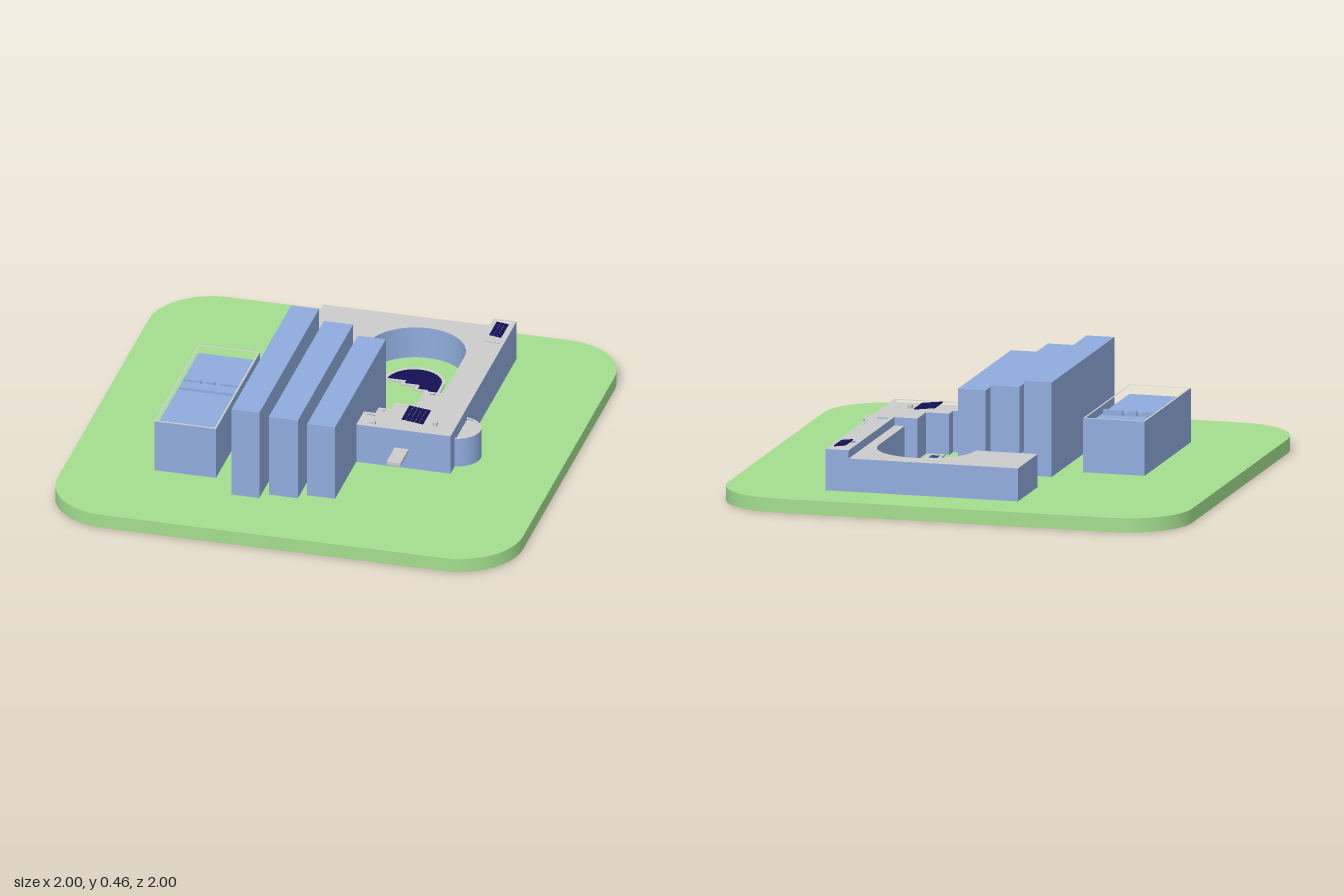
import * as THREE from 'three';
import { toCreasedNormals } from 'three/addons/utils/BufferGeometryUtils.js';

const paint = (color) => new THREE.MeshStandardMaterial({ color });
const GROUND = 0.06;

export function createModel() {
  const model = new THREE.Group();
  const green = paint(0xa3de8e), blue = paint(0x8fabdd), grey = paint(0xdad8d6);
  const navy = paint(0x140f55), violet = paint(0x43438a);

  const add = (name, geometry, material, parent = model) => {
    const mesh = new THREE.Mesh(geometry, material);
    mesh.name = name;
    parent.add(mesh);
    return mesh;
  };

  // Box given by its extents
  const block = (name, x0, x1, y0, y1, z0, z1, material, parent) => {
    const mesh = add(name, new THREE.BoxGeometry(x1 - x0, y1 - y0, z1 - z0), material, parent);
    mesh.position.set((x0 + x1) / 2, (y0 + y1) / 2, (z0 + z1) / 2);
    return mesh;
  };

  // Plan outline [x, z] raised from y0 to y1, with optional holes
  const plan = (points) => points.map(([x, z]) => new THREE.Vector2(x, -z));
  const raise = (name, points, y0, y1, roof, wall, holes = [], parent) => {
    const shape = new THREE.Shape(plan(points));
    holes.forEach((h) => shape.holes.push(new THREE.Path(plan(h))));
    const g = new THREE.ExtrudeGeometry(shape, { depth: y1 - y0, bevelEnabled: false });
    g.rotateX(-Math.PI / 2).translate(0, y0, 0);
    return add(name, toCreasedNormals(g, 0.5), [roof, wall], parent);
  };
  const rect = (x0, x1, z0, z1) => [[x0, z0], [x1, z0], [x1, z1], [x0, z1]];
  const arc = (cx, cz, r, a0, a1, n = 32) => Array.from({ length: n + 1 }, (_, i) => {
    const a = a0 + ((a1 - a0) * i) / n;
    return [cx + r * Math.cos(a), cz + r * Math.sin(a)];
  });
  const PI = Math.PI;

  // Lawn slab with rounded corners
  const R = 0.27, c = 1 - R;
  const lawn = [[c, c], [-c, c], [-c, -c], [c, -c]].flatMap(([x, z], i) =>
    arc(x, z, R, (i * PI) / 2, ((i + 1) * PI) / 2, 12));
  raise('lawn', lawn, 0, GROUND, green, green);

  // Three parallel slab buildings, stepping down towards the right
  [[-0.265, -0.145, 0.46, -0.27, 0.685],
    [-0.115, 0.01, 0.425, -0.235, 0.645],
    [0.04, 0.16, 0.395, -0.2, 0.61]].forEach(([x0, x1, top, z0, z1], i) =>
    block(`slabBuilding${i + 1}`, x0, x1, GROUND, top, z0, z1, blue));

  // Detached hall with parapet, sunken roof and roof units
  const hall = new THREE.Group();
  hall.name = 'hall';
  model.add(hall);
  block('hallBody', -0.63, -0.365, GROUND, 0.25, -0.145, 0.56, blue, hall);
  raise('hallParapet', rect(-0.63, -0.365, -0.145, 0.56), 0.25, 0.29, grey, blue,
    [rect(-0.622, -0.373, -0.135, 0.55)], hall);
  block('roofBand', -0.622, -0.378, 0.25, 0.262, 0.135, 0.19, blue, hall);
  [[-0.62, -0.545], [-0.52, -0.485], [-0.46, -0.375]].forEach(([x0, x1]) =>
    block('roofUnit', x0, x1, 0.25, 0.272, 0.122, 0.135, blue, hall));

  // Gabled link between the first slab and the rear wing
  raise('linkBody', rect(-0.2, -0.075, -0.49, -0.25), GROUND, 0.125, blue, blue);
  const gable = new THREE.Shape([
    new THREE.Vector2(-0.2, 0.125), new THREE.Vector2(-0.075, 0.125), new THREE.Vector2(-0.138, 0.156)]);
  add('linkRoof', new THREE.ExtrudeGeometry(gable, { depth: 0.24, bevelEnabled: false })
    .translate(0, 0, -0.49), blue);

  // Rear wing wrapping a semicircular courtyard
  raise('rearWing', [[-0.265, -0.785], [0.47, -0.785], [0.47, -0.09], [0.42, -0.09],
    ...arc(0.21, -0.485, 0.21, 0, -PI), [-0.265, -0.485]], GROUND, 0.2, grey, blue);

  // Long east wing and stepped front block, sharing one parapet
  const eastOutline = [[0.465, -0.785], [0.565, -0.785], [0.565, 0.27], [0.16, 0.27], [0.16, 0.15],
    [0.21, 0.15], [0.21, 0.1], [0.265, 0.1], [0.265, 0.04], [0.365, 0.04], [0.365, -0.09], [0.465, -0.09]];
  const frontRoof = [[0.545, -0.07], [0.545, 0.25], [0.18, 0.25], [0.18, 0.17], [0.23, 0.17],
    [0.23, 0.12], [0.285, 0.12], [0.285, 0.06], [0.385, 0.06], [0.385, -0.07]];
  raise('eastWing', eastOutline, GROUND, 0.222, grey, blue);
  raise('eastParapet', eastOutline, 0.222, 0.235, grey, blue,
    [frontRoof, rect(0.482, 0.55, -0.77, -0.6), rect(0.482, 0.55, -0.58, -0.11)]);
  [[0.22, 0.225], [0.47, 0.165]].forEach(([x, z]) =>
    block('roofVent', x - 0.01, x + 0.01, 0.222, 0.236, z - 0.01, z + 0.01, grey));

  // Tilted solar arrays made of small tiles
  const solar = (x, z, w, d, cols, rows) => {
    const array = new THREE.Group();
    array.name = 'solarArray';
    const tile = new THREE.BoxGeometry((w / cols) * 0.88, 0.004, (d / rows) * 0.88);
    for (let i = 0; i < cols; i++) {
      for (let j = 0; j < rows; j++) {
        add('solarTile', tile, navy, array).position.set(
          ((i + 0.5) / cols - 0.5) * w, 0, ((j + 0.5) / rows - 0.5) * d);
      }
    }
    array.position.set(x, 0.243, z);
    array.rotation.z = -0.12;
    model.add(array);
  };
  solar(0.382, 0.138, 0.095, 0.125, 5, 7);
  solar(0.517, -0.68, 0.053, 0.12, 3, 7);

  // Half-round tower with a low rim
  const halfRound = (r) => [[0.56, 0.105 - r], ...arc(0.56, 0.105, r, -PI / 2, PI / 2, 28), [0.56, 0.105 + r]]
    .slice(1, -1);
  raise('roundTower', halfRound(0.1).map(([x, z]) => [x - 0.01, z]), GROUND, 0.18, grey, blue);
  raise('towerRim', halfRound(0.1).map(([x, z]) => [x - 0.01, z]), 0.18, 0.19, grey, blue,
    [halfRound(0.087).map(([x, z]) => [x - 0.008, z])]);

  // Entrance canopy
  block('canopy', 0.325, 0.385, 0.135, 0.15, 0.26, 0.4, grey);

  // Courtyard pool: half disc with a stepped edge and a long channel
  const poolOutline = (r, e) => [...arc(0.21, -0.46, r, -PI, 0), [0.335 + e, 0.005 + e],
    [0.28 - e, 0.005 + e], [0.28 - e, -0.4 + e], [0.235 - e, -0.4 + e], [0.235 - e, -0.435 + e],
    [0.17 - e, -0.435 + e], [0.17 - e, -0.46 + e], [0.09 - e, -0.46 + e]];
  raise('poolEdge', poolOutline(0.13, 0.006), GROUND, 0.068, grey, grey, [poolOutline(0.117, -0.006)]);
  const half = [...arc(0.21, -0.462, 0.117, -PI, 0), [0.329, -0.35], [0.286, -0.35],
    [0.286, -0.406], [0.241, -0.406], [0.241, -0.441], [0.176, -0.441], [0.176, -0.462]];
  raise('poolWater', half, GROUND, 0.064, navy, navy);
  block('channelWater', 0.286, 0.329, GROUND, 0.064, -0.35, -0.075, violet);
  block('channelStep', 0.28, 0.335, GROUND, 0.067, -0.075, -0.065, grey);
  block('channelBasin', 0.286, 0.329, GROUND, 0.064, -0.065, 0, violet);

  return model;
}
